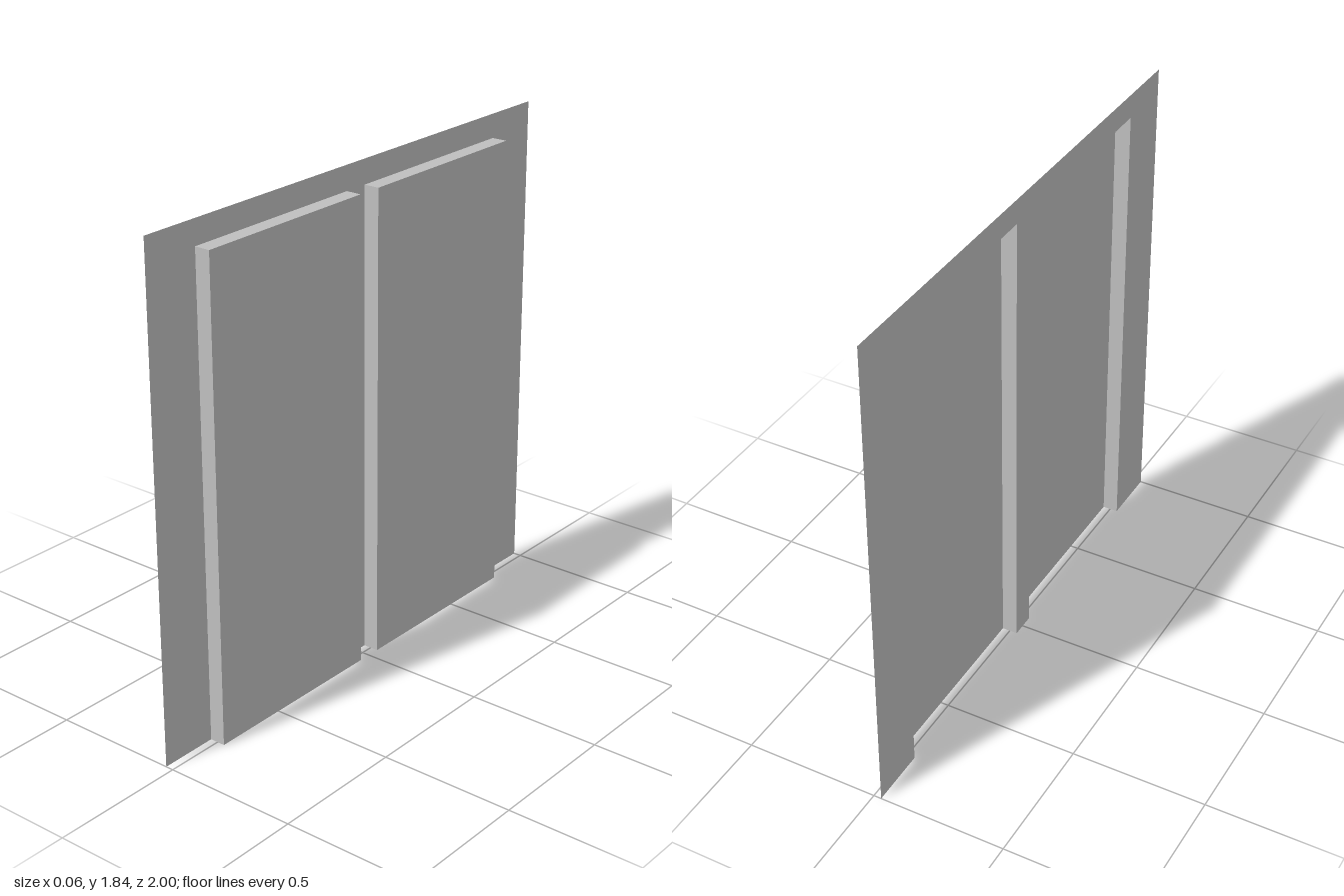
import * as THREE from 'three';

const HALF_DEPTH = 0.029;
const WALL = { half: 1, height: 1.84 };
const PANEL = { inner: 0.047, outer: 0.781, height: 1.75 };

export function createModel() {
  const group = new THREE.Group();
  const grey = new THREE.MeshStandardMaterial({ color: 0xbfbfbf, side: THREE.DoubleSide });
  grey.name = 'light grey';

  const add = (parent, name, geometry, x, y, z) => {
    const mesh = new THREE.Mesh(geometry, grey);
    mesh.name = name;
    mesh.position.set(x, y, z);
    parent.add(mesh);
  };

  // Thin wall sheet with two openings that run down to the floor
  const { inner, outer, height } = PANEL;
  const outline = [
    [-WALL.half, 0], [-outer, 0], [-outer, height], [-inner, height], [-inner, 0],
    [inner, 0], [inner, height], [outer, height], [outer, 0], [WALL.half, 0],
    [WALL.half, WALL.height], [-WALL.half, WALL.height],
  ].map(([u, v]) => new THREE.Vector2(u, v));
  const sheet = new THREE.ShapeGeometry(new THREE.Shape(outline)).rotateY(Math.PI / 2);
  add(group, 'wallSheet', sheet, -HALF_DEPTH, 0, 0);

  // Raised hollow panels, open at the back and at the floor
  const width = outer - inner;
  const depth = HALF_DEPTH * 2;
  for (const side of [1, -1]) {
    const panel = new THREE.Group();
    panel.name = side > 0 ? 'frontPanel' : 'rearPanel';
    panel.position.z = side * (inner + outer) / 2;
    add(panel, 'panelFace', new THREE.PlaneGeometry(width, height).rotateY(Math.PI / 2),
      HALF_DEPTH, height / 2, 0);
    add(panel, 'panelTop', new THREE.PlaneGeometry(depth, width).rotateX(-Math.PI / 2),
      0, height, 0);
    for (const end of [1, -1]) {
      const edge = new THREE.PlaneGeometry(depth, height);
      if (end < 0) edge.rotateY(Math.PI);
      add(panel, 'panelEdge', edge, 0, height / 2, end * width / 2);
    }
    group.add(panel);
  }
  return group;
}
